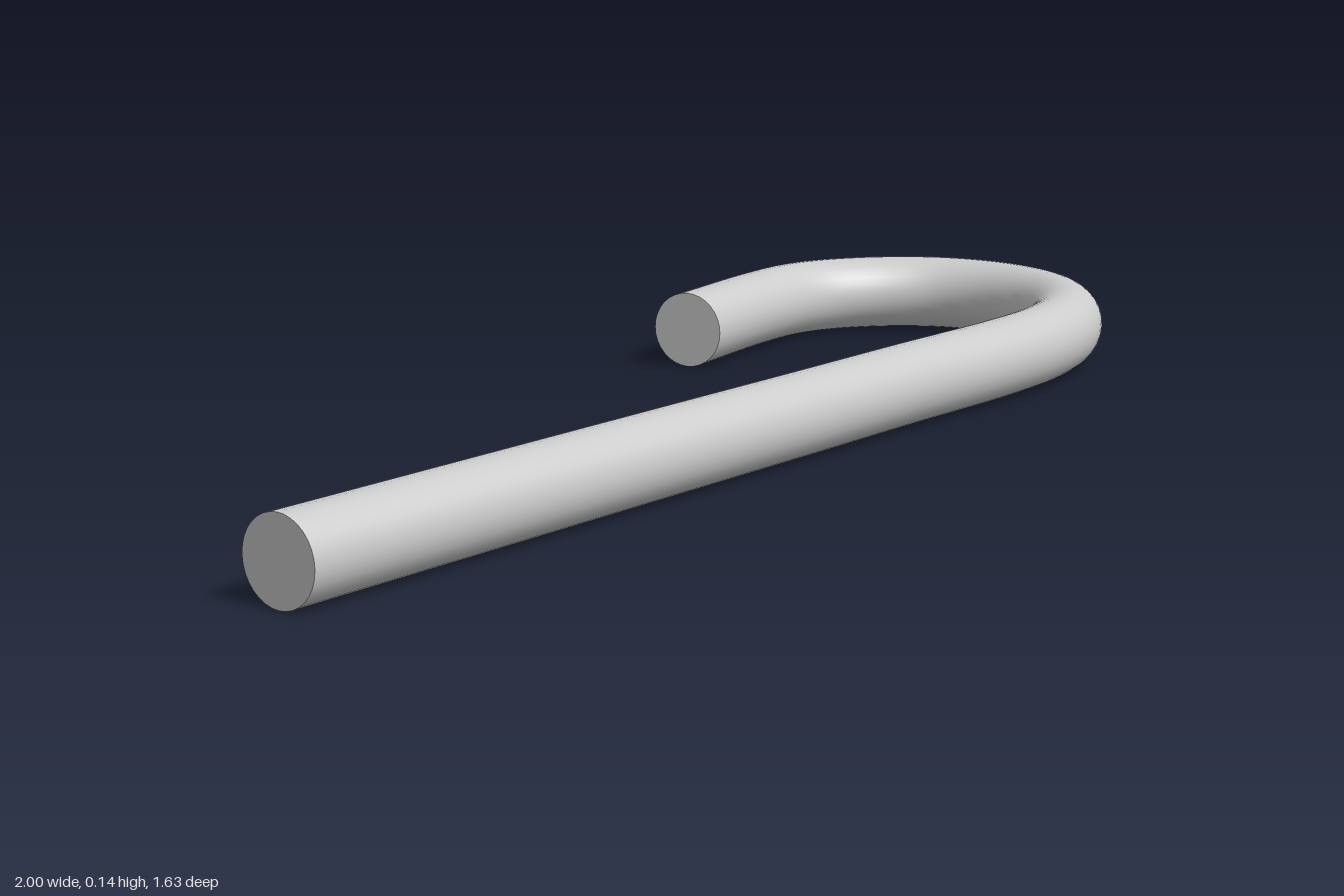
import * as THREE from 'three';

const RADIUS = 0.068;
const SIDES = 32;

export function createModel() {
  const group = new THREE.Group();
  group.name = 'cane';
  const material = new THREE.MeshStandardMaterial({ color: 0xcccccc });

  // Centre line lying flat: straight shaft, round crook, short straight tip
  const points = [
    [-0.97, 0.75], [-0.6, 0.56], [-0.2, 0.354], [0.1, 0.2], [0.35, 0.07], [0.59, -0.05],
    [0.73, -0.135], [0.84, -0.235], [0.91, -0.35], [0.932, -0.46], [0.905, -0.58],
    [0.835, -0.675], [0.735, -0.73], [0.62, -0.748], [0.53, -0.73], [0.43, -0.675], [0.22, -0.525],
  ].map(([x, z]) => new THREE.Vector3(x, RADIUS, z));
  const path = new THREE.CatmullRomCurve3(points, false, 'centripetal');

  const rod = new THREE.Mesh(new THREE.TubeGeometry(path, 160, RADIUS, SIDES), material);
  rod.name = 'rod';
  group.add(rod);

  // Flat discs closing both ends, facing away from the rod
  for (const [name, t, sign] of [['shaftEndCap', 0, -1], ['crookEndCap', 1, 1]]) {
    const cap = new THREE.Mesh(new THREE.CircleGeometry(RADIUS, SIDES), material);
    cap.name = name;
    cap.position.copy(path.getPointAt(t));
    cap.lookAt(path.getTangentAt(t).multiplyScalar(sign).add(cap.position));
    group.add(cap);
  }
  return group;
}
